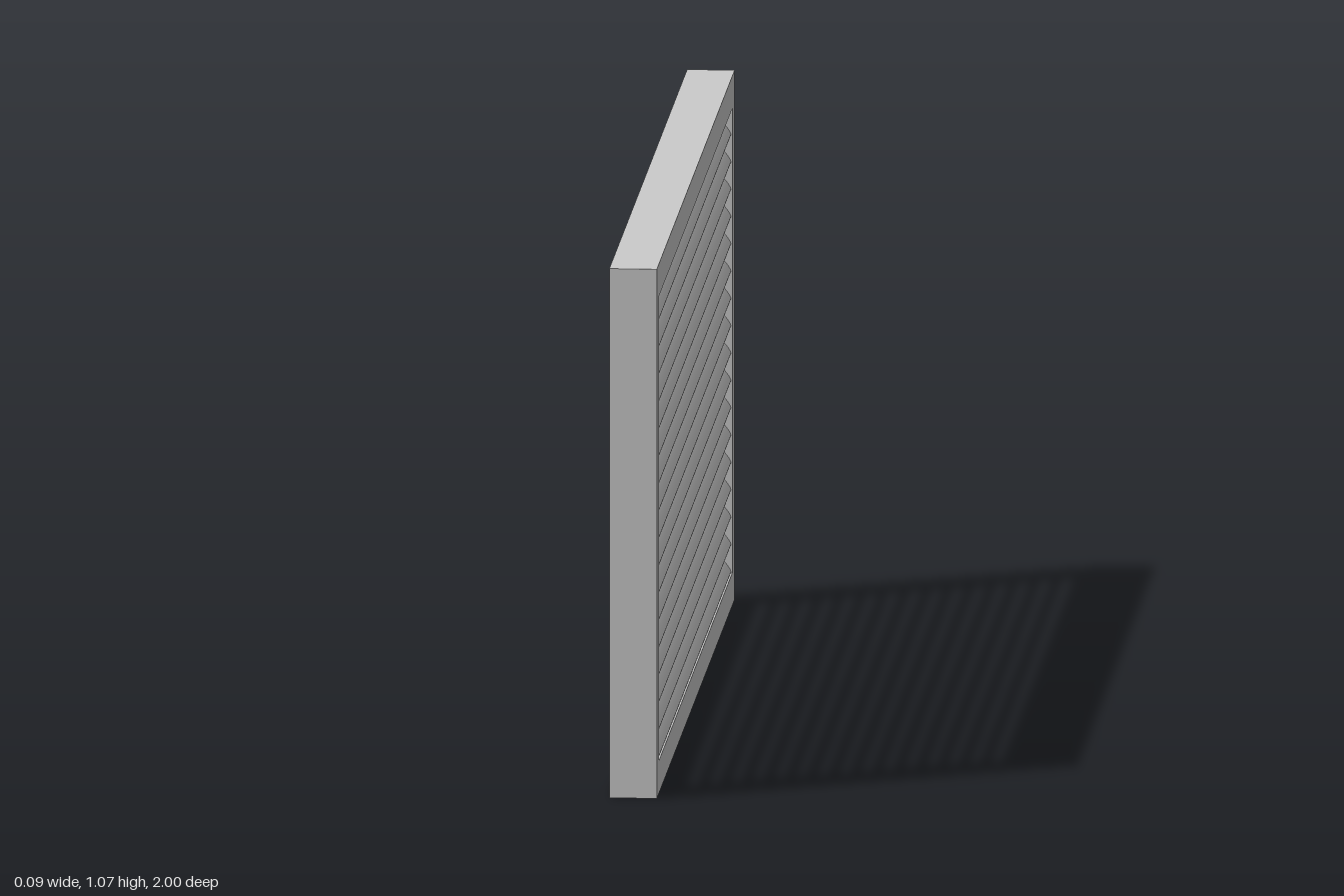
import * as THREE from 'three';

const HEIGHT = 1.065, DEPTH = 0.094, RAIL = 0.065, POST = 0.06;
const SLATS = 17;

export function createModel() {
  const group = new THREE.Group();
  const material = new THREE.MeshStandardMaterial({ color: 0xcccccc });
  const add = (name, geometry, parent = group) => {
    const mesh = new THREE.Mesh(geometry, material);
    mesh.name = name;
    parent.add(mesh);
    return mesh;
  };

  // Bottom rail running the full length
  add('bottomRail', new THREE.BoxGeometry(DEPTH, RAIL, 2)).position.y = RAIL / 2;

  // Side posts and top rail in one piece, an upside-down U
  const inner = 1 - POST, top = HEIGHT - RAIL;
  const outline = new THREE.Shape([
    [-1, RAIL], [-inner, RAIL], [-inner, top], [inner, top],
    [inner, RAIL], [1, RAIL], [1, HEIGHT], [-1, HEIGHT],
  ].map(([x, y]) => new THREE.Vector2(x, y)));
  const frame = new THREE.ExtrudeGeometry(outline, { depth: DEPTH, bevelEnabled: false });
  frame.translate(0, 0, -DEPTH / 2).rotateY(Math.PI / 2);
  add('upperFrame', frame);

  // Slats: flat oval blades tilted down towards +x
  const slat = new THREE.CylinderGeometry(1, 1, 2 * inner, 24);
  slat.rotateX(Math.PI / 2).scale(0.038, 0.0075, 1).rotateZ(-Math.PI / 4);
  const slats = new THREE.Group();
  slats.name = 'slats';
  group.add(slats);
  const pitch = (top - RAIL) / SLATS;
  for (let i = 0; i < SLATS; i++) {
    add('slat', slat, slats).position.set(0.017, RAIL + pitch * (i + 0.5), 0);
  }
  return group;
}
